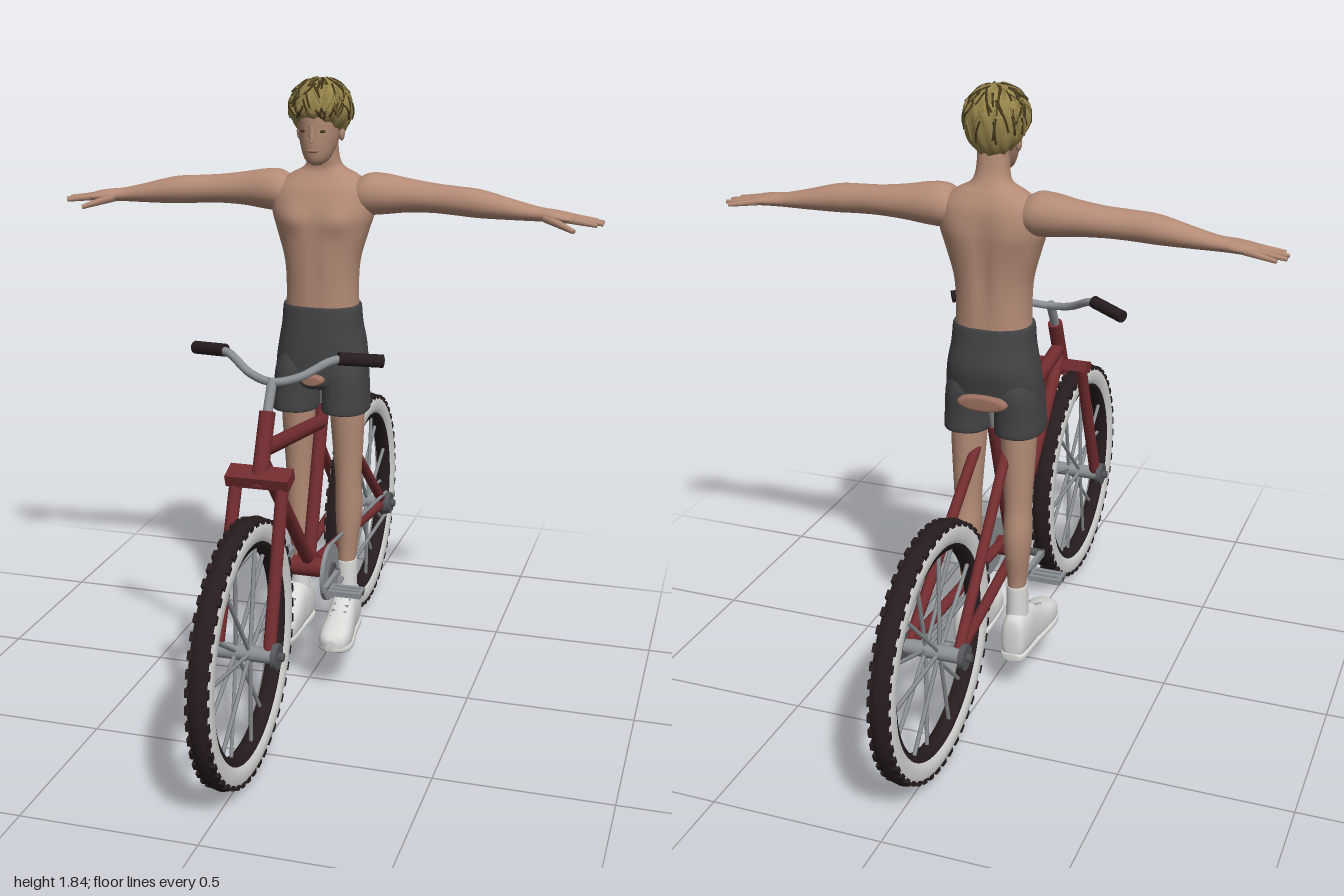
import * as THREE from 'three';

const mat = (name, color) => Object.assign(new THREE.MeshStandardMaterial({ color }), { name });
const V = (x, y, z) => new THREE.Vector3(x, y, z);

export function createModel() {
  const skin = mat('skin', 0xb48b76), hair = mat('hair', 0x94834a), darkHair = mat('dark hair', 0x453a1c);
  const cloth = mat('shorts grey', 0x444446), red = mat('frame red', 0x722c2f), rubber = mat('rubber', 0x271c1e);
  const white = mat('white', 0xd9d9d6), metal = mat('metal', 0x8b9094), darkMetal = mat('dark metal', 0x55575a);
  const tan = mat('saddle tan', 0x9c7060);
  const model = new THREE.Group(), bike = new THREE.Group(), rider = new THREE.Group();
  model.name = 'riderWithBicycle'; bike.name = 'bicycle'; rider.name = 'rider';
  model.add(bike, rider);

  const add = (parent, name, geometry, material) => {
    const m = new THREE.Mesh(geometry, material);
    m.name = name;
    parent.add(m);
    return m;
  };
  const box = (w, h, d, x, y, z) => new THREE.BoxGeometry(w, h, d).translate(x, y, z);
  const ball = (rx, ry, rz, x, y, z) => new THREE.SphereGeometry(1, 16, 12).scale(rx, ry, rz).translate(x, y, z);
  const disc = (r, w, x, y, z, n = 24) => new THREE.CylinderGeometry(r, r, w, n).rotateZ(Math.PI / 2).translate(x, y, z);
  // straight round bar between two points
  const bar = (a, b, r, r2 = r, n = 12) => {
    const d = b.clone().sub(a), g = new THREE.CylinderGeometry(r2, r, d.length(), n);
    g.applyQuaternion(new THREE.Quaternion().setFromUnitVectors(V(0, 1, 0), d.normalize()));
    const c = a.clone().add(b).multiplyScalar(0.5);
    return g.translate(c.x, c.y, c.z);
  };
  const pipe = (pts, r, n = 24) => new THREE.TubeGeometry(new THREE.CatmullRomCurve3(pts), n, r, 10);
  const mirror = g => {
    const m = g.clone().scale(-1, 1, 1), ix = m.index.array;
    for (let i = 0; i < ix.length; i += 3) [ix[i], ix[i + 1]] = [ix[i + 1], ix[i]];
    return m;
  };
  const pair = (parent, name, g, material) => {
    add(parent, 'left' + name, g, material);
    add(parent, 'right' + name, mirror(g), material);
  };
  // smooth skin over rings [y, cx, cz, rx, rz]; rule may move each point
  const loft = (rings, { n = 28, sub = 5, power = 1, rule } = {}) => {
    const col = k => new THREE.SplineCurve(rings.map((r, i) => new THREE.Vector2(i, r[k])));
    const cols = [0, 1, 2, 3, 4].map(col), steps = (rings.length - 1) * sub, pos = [], idx = [];
    const sp = v => Math.sign(v) * Math.abs(v) ** power;
    const put = p => { if (rule) rule(p); pos.push(p.x, p.y, p.z); };
    for (let i = 0; i <= steps; i++) {
      const [y, cx, cz, rx, rz] = cols.map(c => c.getPoint(i / steps).y);
      for (let j = 0; j < n; j++) {
        const t = j / n * Math.PI * 2;
        put(V(cx + Math.max(rx, 0.001) * sp(Math.cos(t)), y, cz + Math.max(rz, 0.001) * sp(Math.sin(t))));
        if (i === steps) continue;
        const a = i * n + j, b = i * n + (j + 1) % n;
        idx.push(a, a + n, b, b, a + n, b + n);
      }
    }
    const end = steps * n, low = end + n;
    for (const r of [rings[0], rings[rings.length - 1]]) put(V(r[1], r[0], r[2]));
    for (let j = 0; j < n; j++) {
      const k = (j + 1) % n;
      idx.push(low, j, k, low + 1, end + k, end + j);
    }
    const g = new THREE.BufferGeometry();
    g.setAttribute('position', new THREE.Float32BufferAttribute(pos, 3));
    g.setIndex(idx);
    g.computeVertexNormals();
    return g;
  };

  // wheels
  const HY = 0.378;
  const ring = pts => new THREE.LatheGeometry(pts.map(p => new THREE.Vector2(...p)), 64).rotateZ(Math.PI / 2);
  const wall = [[0.355, 0.027], [0.343, 0.033], [0.318, 0.033], [0.303, 0.024]];
  for (const [name, z] of [['frontWheel', 0.63], ['rearWheel', -0.63]]) {
    const w = new THREE.Group();
    w.name = name;
    w.position.set(0, HY, z);
    bike.add(w);
    add(w, 'tread', ring([[0.355, -0.027], [0.365, -0.018], [0.37, 0], [0.365, 0.018], [0.355, 0.027]]), rubber);
    add(w, 'outerSidewall', ring(wall), white);
    add(w, 'innerSidewall', ring(wall.map(([r, h]) => [r, -h]).reverse()), white);
    add(w, 'rim', ring([[0.303, 0.024], [0.286, 0.019], [0.284, 0], [0.286, -0.019], [0.303, -0.024]]), rubber);
    for (let i = 0; i < 48; i++) for (const s of [-1, 1])
      add(w, 'treadKnob', box(0.012, 0.014, 0.024, s * 0.025, 0.357, 0).rotateX(i / 48 * Math.PI * 2), rubber);
    for (let i = 0; i < 14; i++) {
      const t = (i + 0.3) / 14 * Math.PI * 2, s = i % 2 ? 0.02 : -0.02;
      add(w, 'spoke', bar(V(s, 0, 0), V(s / 3, Math.cos(t) * 0.29, Math.sin(t) * 0.29), 0.006, 0.006, 6), metal);
    }
    add(w, 'hub', disc(0.022, 0.18, 0, 0, 0), metal);
    for (const s of [-1, 1]) {
      add(w, 'hubPlate', disc(0.036, 0.016, s * 0.094, 0, 0), darkMetal);
      add(w, 'axleNut', disc(0.012, 0.02, s * 0.106, 0, 0, 6), darkMetal);
    }
  }

  // frame and fork
  add(bike, 'topTube', bar(V(0, 0.893, 0.435), V(0, 0.81, -0.11), 0.022), red);
  add(bike, 'downTube', bar(V(0, 0.86, 0.445), V(0, 0.395, 0), 0.02), red);
  add(bike, 'seatTube', bar(V(0, 0.39, 0.01), V(0, 0.86, -0.145), 0.021), red);
  add(bike, 'seatPost', bar(V(0, 0.84, -0.14), V(0, 0.95, -0.17), 0.014), metal);
  add(bike, 'headTube', bar(V(0, 0.80, 0.485), V(0, 0.99, 0.402), 0.023), red);
  add(bike, 'forkCrown', box(0.18, 0.034, 0.06, 0, 0, 0).rotateX(0.35).translate(0, 0.825, 0.475), red);
  add(bike, 'bottomBracket', disc(0.03, 0.1, 0, 0.385, 0.01), red);
  pair(bike, 'ForkLeg', bar(V(0.066, 0.82, 0.475), V(0.074, HY, 0.63), 0.018), red);
  pair(bike, 'SeatStay', bar(V(0.045, 0.82, -0.14), V(0.074, HY, -0.63), 0.016), red);
  pair(bike, 'ChainStay', bar(V(0.025, 0.41, 0), V(0.074, HY, -0.63), 0.016), red);

  // handlebar and saddle
  add(bike, 'stem', bar(V(0, 0.98, 0.406), V(0, 1.07, 0.355), 0.014), metal);
  add(bike, 'handlebar', pipe([V(-0.19, 1.118, 0.265), V(-0.15, 1.115, 0.285), V(-0.07, 1.075, 0.335), V(0, 1.062, 0.357),
    V(0.07, 1.075, 0.335), V(0.15, 1.115, 0.285), V(0.19, 1.118, 0.265)], 0.012, 40), metal);
  pair(bike, 'Grip', bar(V(0.165, 1.12, 0.277), V(0.275, 1.105, 0.214), 0.019), rubber);
  add(bike, 'saddle', loft([[-0.255, 0, -0.963, 0.05, 0.014], [-0.245, 0, -0.963, 0.075, 0.024], [-0.18, 0, -0.963, 0.065, 0.024],
    [-0.1, 0, -0.963, 0.038, 0.02], [-0.025, 0, -0.963, 0.034, 0.016], [-0.015, 0, -0.963, 0.02, 0.01]]).rotateX(Math.PI / 2), tan);

  // drivetrain
  add(bike, 'chainring', disc(0.086, 0.012, 0.068, HY, 0.018, 32), metal);
  add(bike, 'chainringBoss', disc(0.03, 0.02, 0.072, HY, 0.018), darkMetal);
  add(bike, 'rearSprocket', disc(0.04, 0.012, 0.085, HY, -0.63), darkMetal);
  for (const s of [-1, 1]) {
    add(bike, 'chainRun', bar(V(0.068, HY + s * 0.084, 0.01), V(0.085, HY + s * 0.038, -0.63), 0.006, 0.006, 6), metal);
    add(bike, 'crankArm', box(0.014, 0.02, 0.15, s * 0.094, HY, 0.015 + s * 0.07), metal);
    add(bike, 'pedalAxle', disc(0.007, 0.12, s * 0.15, HY, 0.015 + s * 0.135, 8), darkMetal);
    for (const d of [-0.023, 0, 0.023])
      add(bike, 'pedalBar', box(0.095, 0.016, 0.012, s * 0.158, HY, 0.015 + s * 0.135 + d), metal);
    for (const d of [-0.045, 0.045])
      add(bike, 'pedalEnd', box(0.008, 0.016, 0.058, s * 0.158 + d, HY, 0.015 + s * 0.135), metal);
  }
  add(bike, 'crankAxle', disc(0.012, 0.2, 0, HY, 0.015, 12), darkMetal);

  // torso with chest muscles and a spine groove
  const bump = (x, y, cx, cy, w, h) => Math.exp(-(((x - cx) / w) ** 2) - ((y - cy) / h) ** 2);
  add(rider, 'torso', loft([[1.14, 0, -0.143, 0.112, 0.088], [1.22, 0, -0.141, 0.108, 0.089], [1.31, 0, -0.14, 0.113, 0.092],
    [1.4, 0, -0.142, 0.138, 0.096], [1.46, 0, -0.146, 0.155, 0.094], [1.52, 0, -0.153, 0.15, 0.083], [1.56, 0, -0.158, 0.105, 0.062],
    [1.585, 0, -0.155, 0.06, 0.05], [1.62, 0, -0.145, 0.046, 0.046], [1.69, 0, -0.135, 0.044, 0.046]], {
    n: 48, power: 0.88, rule: p => {
      const x = Math.abs(p.x);
      if (p.z > -0.14) p.z += 0.014 * bump(x, p.y, 0.065, 1.44, 0.045, 0.04) - 0.005 * bump(x, p.y, 0, 1.3, 0.014, 0.13);
      else p.z += 0.012 * bump(x, p.y, 0, 1.35, 0.02, 0.15) - 0.008 * bump(x, p.y, 0.08, 1.46, 0.045, 0.06);
    }
  }), skin);

  // arms with spread fingers
  const side = g => g.rotateZ(-Math.PI / 2);
  pair(rider, 'Arm', side(loft([[0.08, -1.5, -0.155, 0.035, 0.05], [0.13, -1.508, -0.157, 0.06, 0.068], [0.18, -1.51, -0.16, 0.06, 0.066],
    [0.25, -1.508, -0.163, 0.05, 0.055], [0.33, -1.504, -0.16, 0.043, 0.048], [0.4, -1.5, -0.153, 0.042, 0.045],
    [0.47, -1.495, -0.15, 0.041, 0.045], [0.56, -1.483, -0.15, 0.03, 0.037], [0.635, -1.474, -0.15, 0.021, 0.03],
    [0.68, -1.471, -0.147, 0.018, 0.04], [0.725, -1.467, -0.147, 0.014, 0.043], [0.745, -1.465, -0.147, 0.006, 0.035]])), skin);
  [[0.8, -0.198, -0.178], [0.822, -0.17, -0.158], [0.822, -0.138, -0.138], [0.808, -0.108, -0.119]].forEach(([x, z, z0]) =>
    pair(rider, 'Finger', bar(V(0.71, 1.468, z0), V(x, 1.455, z), 0.011, 0.006, 8), skin));
  pair(rider, 'Thumb', bar(V(0.66, 1.468, -0.125), V(0.748, 1.44, -0.078), 0.014, 0.007, 8), skin);

  // head and face
  add(rider, 'head', loft([[1.6, 0, -0.07, 0.014, 0.022], [1.615, 0, -0.078, 0.034, 0.046], [1.65, 0, -0.095, 0.05, 0.071],
    [1.7, 0, -0.108, 0.061, 0.086], [1.76, 0, -0.112, 0.066, 0.089], [1.81, 0, -0.112, 0.045, 0.06], [1.825, 0, -0.112, 0.01, 0.015]]), skin);
  add(rider, 'nose', bar(V(0, 1.715, -0.026), V(0, 1.668, -0.016), 0.012, 0.006, 8), skin);
  add(rider, 'mouth', ball(0.02, 0.005, 0.006, 0, 1.644, -0.027), tan);
  pair(rider, 'Eye', ball(0.012, 0.005, 0.006, 0.026, 1.7, -0.034), darkHair);
  pair(rider, 'Ear', ball(0.009, 0.024, 0.015, 0.063, 1.69, -0.115), skin);

  // hair cap: short fringe in front, longer at the nape
  const hairPoint = (th, ph, lift = 1) => {
    const c = Math.cos(th), nz = Math.sin(th) * Math.cos(ph), nx = Math.sin(th) * Math.sin(ph);
    const r = lift * (0.98 + 0.02 * Math.sin(11 * ph + 4 * th) + 0.015 * Math.sin(17 * ph - 6 * th));
    const depth = c > 0 ? 0.085 : 0.045 + 0.052 * (1 - nz);
    return V(nx * 0.093 * r, 1.76 + c * depth * r, -0.114 + nz * 0.105 * r);
  };
  const cap = new THREE.SphereGeometry(1, 64, 36), cp = cap.attributes.position;
  for (let i = 0; i < cp.count; i++) {
    const p = hairPoint(Math.acos(Math.min(1, Math.max(-1, cp.getY(i)))), Math.atan2(cp.getX(i), cp.getZ(i)));
    cp.setXYZ(i, p.x, p.y, p.z);
  }
  cap.computeVertexNormals();
  add(rider, 'hairCap', cap, hair);
  let seed = 7;
  const rnd = () => (seed = (seed * 16807) % 2147483647) / 2147483647;
  for (let i = 0; i < 150; i++) {
    const th = 0.1 + rnd() * 1.5, ph = rnd() * Math.PI * 2, twist = (rnd() - 0.5) * 0.7;
    const pts = [0, 1, 2, 3].map(k => hairPoint(th + k * 0.16, ph + twist * k / 3, 1.005));
    add(rider, 'hairLock', new THREE.TubeGeometry(new THREE.CatmullRomCurve3(pts), 6, 0.0032, 5), i % 3 ? darkHair : hair);
  }

  // shorts
  add(rider, 'shortsSeat', loft([[0.925, 0, -0.135, 0.11, 0.07], [0.945, 0, -0.135, 0.138, 0.092], [1.0, 0, -0.14, 0.14, 0.1],
    [1.06, 0, -0.145, 0.133, 0.104], [1.12, 0, -0.142, 0.122, 0.098], [1.175, 0, -0.14, 0.117, 0.092], [1.178, 0, -0.14, 0.108, 0.085]],
  { n: 40, power: 0.85 }), cloth);
  pair(rider, 'ShortsLeg', loft([[0.857, 0.077, -0.132, 0.06, 0.085], [0.858, 0.077, -0.132, 0.071, 0.096], [0.91, 0.076, -0.133, 0.069, 0.096],
    [0.98, 0.073, -0.137, 0.066, 0.097], [1.03, 0.068, -0.14, 0.055, 0.085]], { power: 0.85 }), cloth);

  // legs, socks and shoes
  pair(rider, 'Leg', loft([[0.3, 0.075, -0.157, 0.025, 0.03], [0.38, 0.076, -0.158, 0.029, 0.034], [0.47, 0.079, -0.163, 0.038, 0.047],
    [0.54, 0.08, -0.163, 0.042, 0.05], [0.62, 0.079, -0.157, 0.04, 0.047], [0.72, 0.078, -0.153, 0.046, 0.05],
    [0.82, 0.077, -0.148, 0.052, 0.056], [0.92, 0.075, -0.145, 0.055, 0.06]]), skin);
  pair(rider, 'Sock', loft([[0.22, 0.076, -0.155, 0.034, 0.04], [0.28, 0.076, -0.156, 0.033, 0.037], [0.35, 0.076, -0.157, 0.032, 0.036],
    [0.357, 0.076, -0.157, 0.028, 0.033]]), white);
  const forward = g => g.rotateX(Math.PI / 2);
  pair(rider, 'Shoe', forward(loft([[-0.215, 0.077, -0.18, 0.012, 0.03], [-0.205, 0.077, -0.19, 0.034, 0.07], [-0.16, 0.079, -0.196, 0.041, 0.08],
    [-0.1, 0.082, -0.19, 0.042, 0.076], [-0.04, 0.086, -0.174, 0.046, 0.06], [0.02, 0.09, -0.168, 0.049, 0.046],
    [0.065, 0.091, -0.166, 0.04, 0.032], [0.083, 0.091, -0.164, 0.014, 0.014]], { power: 0.8, rule: p => { p.z = Math.min(p.z, -0.14); } })), white);
  pair(rider, 'Sole', forward(loft([[-0.217, 0.077, -0.134, 0.015, 0.012], [-0.2, 0.077, -0.134, 0.038, 0.014], [-0.1, 0.082, -0.136, 0.044, 0.014],
    [0.01, 0.09, -0.142, 0.053, 0.014], [0.06, 0.091, -0.148, 0.044, 0.014], [0.083, 0.091, -0.152, 0.015, 0.01]], { power: 0.6 })), white);
  for (let k = 0; k < 4; k++)
    pair(rider, 'Lace', bar(V(0.062, 0.249 - k * 0.011, -0.085 + k * 0.024), V(0.108, 0.247 - k * 0.011, -0.08 + k * 0.024), 0.005, 0.005, 6), metal);
  return model;
}
